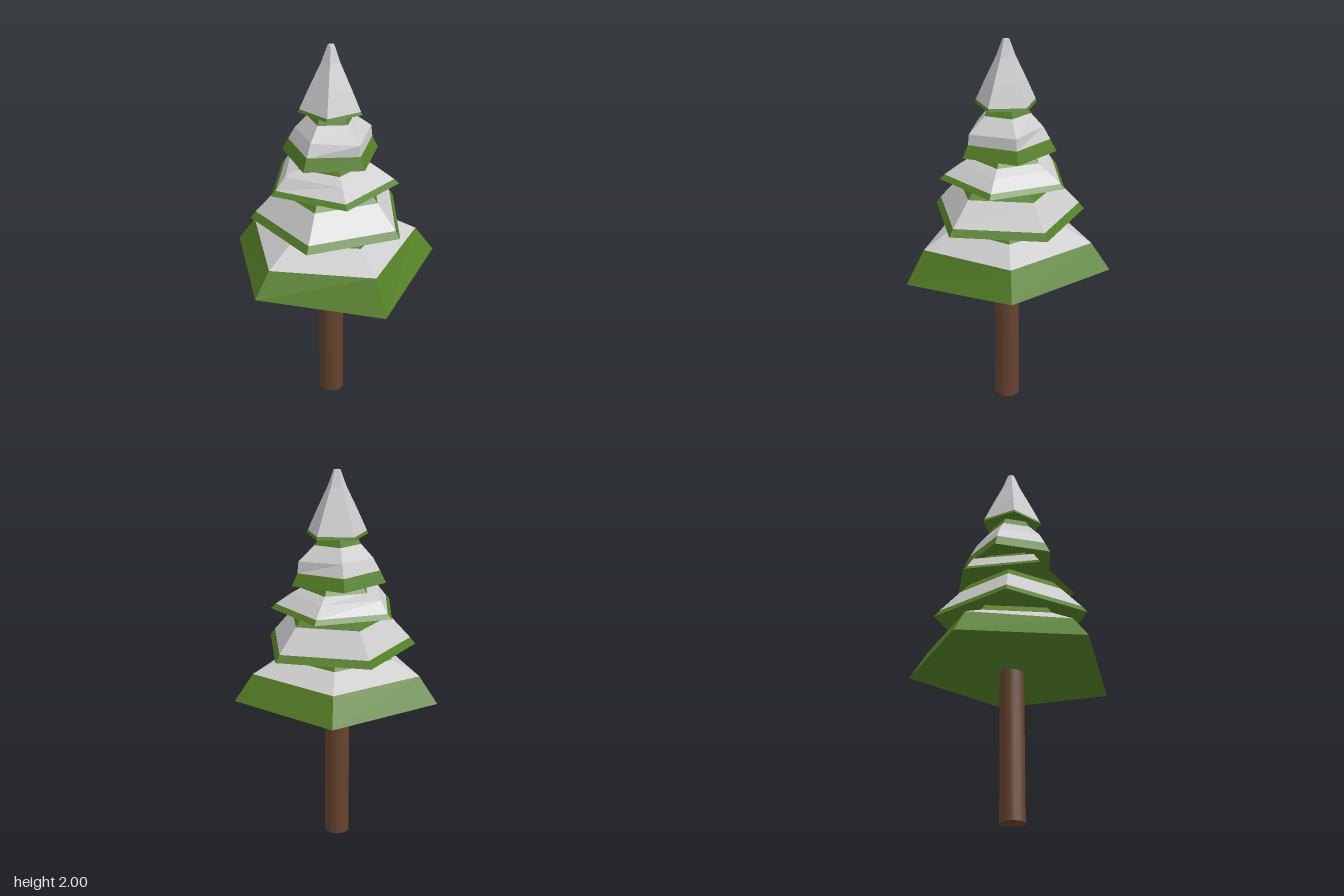
import * as THREE from 'three';

const SIDES = 5;
const AXIS_Z = 0.053;
const green = new THREE.MeshStandardMaterial({ color: 0x558026, flatShading: true });
const snow = new THREE.MeshStandardMaterial({ color: 0xcccccc, flatShading: true });
const bark = new THREE.MeshStandardMaterial({ color: 0x66432f });

// One ring of corners; edits nudges single corners: { index: [dRadius, dHeight] }
function ringPoints([radius, y, edits = {}], phase) {
  return Array.from({ length: SIDES }, (_, k) => {
    const a = THREE.MathUtils.degToRad(phase + (k * 360) / SIDES);
    const [dr, dy] = edits[k] ?? [0, 0];
    return new THREE.Vector3(Math.sin(a) * (radius + dr), y + dy, Math.cos(a) * (radius + dr));
  });
}

// Faceted skin through a stack of rings, with optional end caps
function skin(name, rings, phase, material, capBottom, capTop) {
  const loops = rings.map((r) => ringPoints(r, phase));
  const pts = [];
  for (let i = 0; i < loops.length - 1; i++) {
    for (let k = 0; k < SIDES; k++) {
      const n = (k + 1) % SIDES;
      const [a, b, c, d] = [loops[i][k], loops[i][n], loops[i + 1][n], loops[i + 1][k]];
      pts.push(a, b, c, a, c, d);
    }
  }
  const top = loops[loops.length - 1];
  for (let k = 1; k < SIDES - 1; k++) {
    if (capBottom) pts.push(loops[0][0], loops[0][k + 1], loops[0][k]);
    if (capTop) pts.push(top[0], top[k], top[k + 1]);
  }
  const geometry = new THREE.BufferGeometry().setFromPoints(pts);
  geometry.computeVertexNormals();
  const mesh = new THREE.Mesh(geometry, material);
  mesh.name = name;
  return mesh;
}

// Tiers from bottom to top: green rim (2 rings), snow rings, green neck ring
const tiers = [
  {
    phase: 36,
    rim: [[0.555, 0.817, { 0: [0, -0.06] }], [0.455, 0.957, { 0: [0, -0.02], 4: [0, -0.015] }]],
    snow: [[0.305, 1.03]],
    neck: [0.19, 1.17],
  },
  {
    phase: -9.7,
    rim: [[0.418, 1.07], [0.39, 1.107]],
    snow: [[0.28, 1.23]],
    neck: [0.16, 1.36],
  },
  {
    phase: 19.6,
    rim: [[0.345, 1.278], [0.32, 1.302]],
    snow: [[0.245, 1.355, { 3: [0.03, 0.01], 4: [0.02, 0.01] }], [0.19, 1.388]],
    neck: [0.12, 1.48],
  },
  {
    phase: -25.3,
    rim: [[0.256, 1.426], [0.224, 1.49]],
    snow: [[0.188, 1.555, { 1: [0.03, -0.01], 2: [0.03, -0.005] }], [0.125, 1.625]],
    neck: [0.08, 1.7],
  },
  {
    phase: 0,
    rim: [[0.167, 1.667], [0.16, 1.682]],
    snow: [[0.113, 1.785], [0.05, 1.915], [0.018, 2]],
  },
];

export function createModel() {
  const tree = new THREE.Group();
  tree.name = 'snowyPine';

  // Trunk
  const trunk = new THREE.Mesh(new THREE.CylinderGeometry(0.063, 0.066, 0.95, 16), bark);
  trunk.name = 'trunk';
  trunk.position.set(0, 0.475, AXIS_Z);
  tree.add(trunk);

  // Branch tiers
  tiers.forEach((t, i) => {
    const tier = new THREE.Group();
    tier.name = `branchTier${i + 1}`;
    tier.position.z = AXIS_Z;
    tier.add(skin('greenRim', t.rim, t.phase, green, true, false));
    tier.add(skin('snowCover', [t.rim[1], ...t.snow], t.phase, snow, false, !t.neck));
    if (t.neck) tier.add(skin('greenNeck', [t.snow[t.snow.length - 1], t.neck], t.phase, green, false, true));
    tree.add(tier);
  });
  return tree;
}
